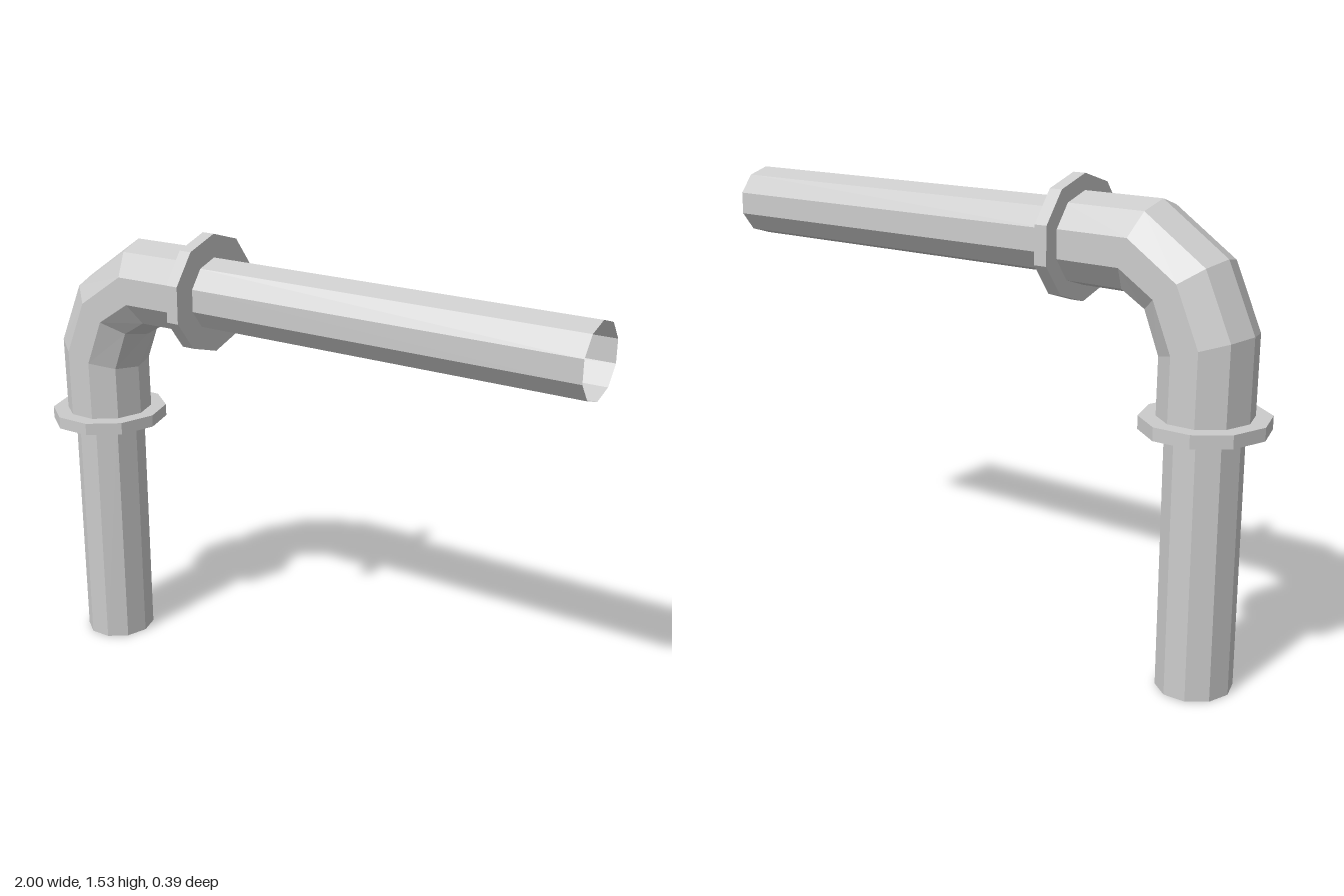
import * as THREE from 'three';

const SIDES = 10;
const Z_RATIO = 1.055; // cross-sections are slightly wider in z
const material = new THREE.MeshStandardMaterial({
  color: 0xcccccc, flatShading: true, side: THREE.DoubleSide,
});

// Skin a row of ten-sided rings; each ring is [centreX, centreY, outwardX, outwardY, zRadius]
function skin(name, rings) {
  const point = ([cx, cy, ux, uy, rz], k) => {
    const a = (k / SIDES) * Math.PI * 2;
    return [cx + ux * Math.cos(a), cy + uy * Math.cos(a), rz * Math.sin(a)];
  };
  const positions = [];
  for (let i = 0; i < rings.length - 1; i++) {
    for (let k = 0; k < SIDES; k++) {
      const a = point(rings[i], k), b = point(rings[i], k + 1);
      const c = point(rings[i + 1], k + 1), d = point(rings[i + 1], k);
      positions.push(...a, ...b, ...c, ...a, ...c, ...d);
    }
  }
  const geometry = new THREE.BufferGeometry();
  geometry.setAttribute('position', new THREE.Float32BufferAttribute(positions, 3));
  geometry.computeVertexNormals();
  const mesh = new THREE.Mesh(geometry, material);
  mesh.name = name;
  return mesh;
}

export function createModel() {
  const group = new THREE.Group();
  group.name = 'pipeWithElbow';

  const pipeX = -0.806, pipeY = 1.337;
  const pipeR = 0.1175, elbowR = 0.143, flangeR = 0.194;

  // Ring around the upright axis at height y, or around the level axis at x
  const upright = (y, r) => [pipeX, y, -r, 0, r * Z_RATIO];
  const level = (x, r) => [x, pipeY, 0, r, r * Z_RATIO];

  // Thin collar with a hole the size of the pipe
  const flange = (name, ring, from, to) => skin(name, [
    ring(from, pipeR), ring(from, flangeR), ring(to, flangeR), ring(to, pipeR), ring(from, pipeR),
  ]);

  // Open-ended straight pipes
  group.add(skin('verticalPipe', [upright(0, pipeR), upright(0.84, pipeR)]));
  group.add(skin('horizontalPipe', [level(-0.348, pipeR), level(1, pipeR)]));

  // Collars
  group.add(flange('lowerFlange', upright, 0.82, 0.861));
  group.add(flange('upperFlange', level, -0.369, -0.326));

  // Mitred bend
  const rz = elbowR * Z_RATIO;
  group.add(skin('elbow', [
    upright(0.84, elbowR),
    [-0.808, 1.073, -elbowR, 0.043, rz],
    [-0.738, 1.24, -0.12, 0.086, rz],
    [-0.596, 1.335, -0.043, elbowR, rz],
    level(-0.348, elbowR),
  ]));

  return group;
}
